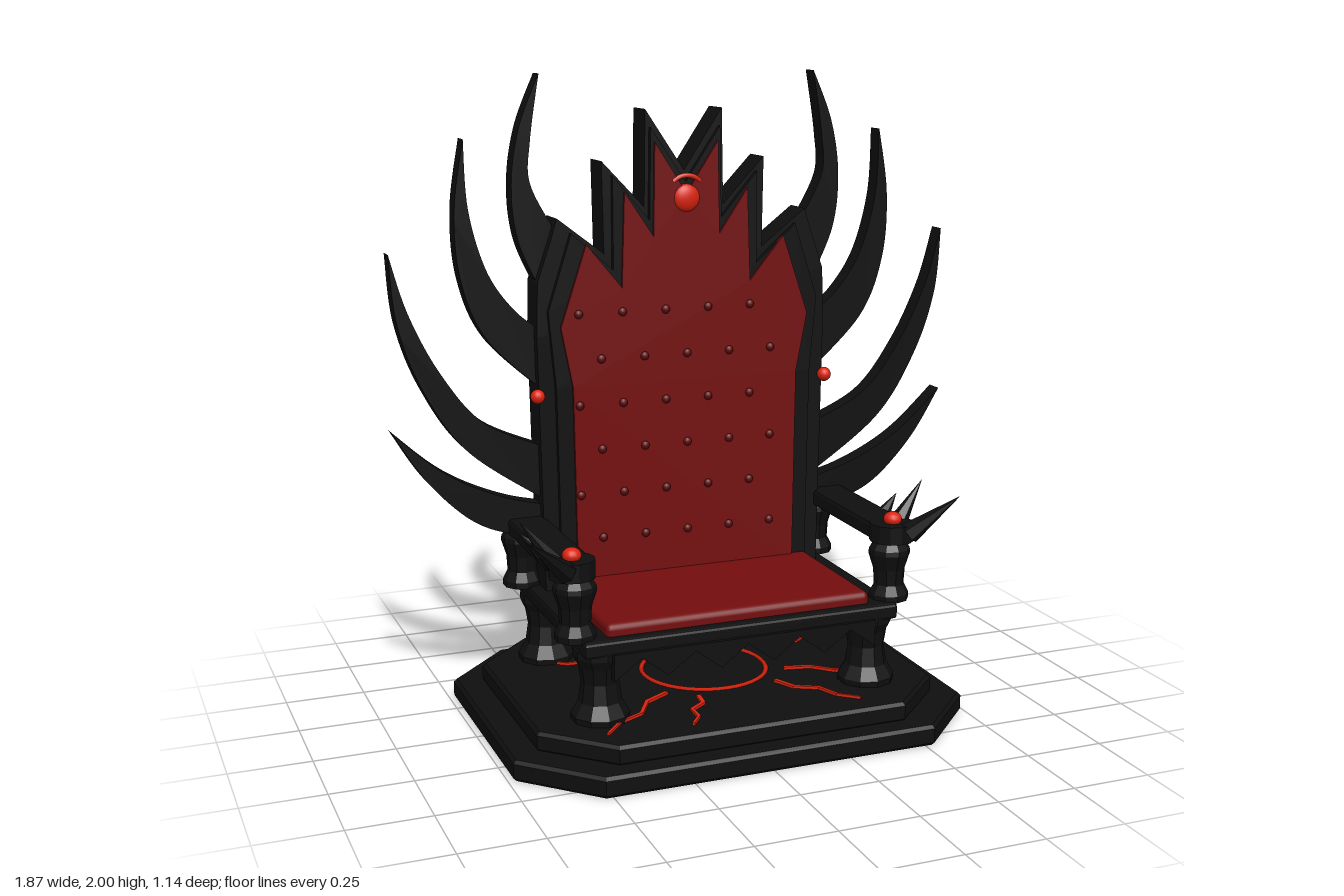
import * as THREE from 'three';
import { RoundedBoxGeometry } from 'three/addons/geometries/RoundedBoxGeometry.js';

const material = (name, color, flat = false) => {
  const m = new THREE.MeshStandardMaterial({ color, flatShading: flat });
  m.name = name;
  return m;
};

export function createModel() {
  const model = new THREE.Group();
  model.name = 'spikedThrone';
  const black = material('blackIron', 0x0f0f0f, true);
  const red = material('redLeather', 0x740d0e);
  const button = material('darkRedButton', 0x5a0a0b);
  const glow = material('glowingRed', 0xdc230e);

  const add = (name, geometry, mat, x = 0, y = 0, z = 0, parent = model) => {
    const mesh = new THREE.Mesh(geometry, mat);
    mesh.name = name;
    mesh.position.set(x, y, z);
    parent.add(mesh);
    return mesh;
  };
  const vectors = (pts, s = 1) => pts.map(([x, y]) => new THREE.Vector2(x * s, y));

  // Shape in the front plane, extruded between two depths
  const plate = (name, shape, z0, z1, mat, bevel = 0) =>
    add(name, new THREE.ExtrudeGeometry(shape, {
      depth: z1 - z0 - 2 * bevel, bevelEnabled: bevel > 0, bevelSize: bevel,
      bevelThickness: bevel, bevelOffset: -bevel, bevelSegments: 1, curveSegments: 10,
    }), mat, 0, 0, z0 + bevel);

  // Full outline from its right half, starting on the centre line
  const symmetric = (half) => new THREE.Shape(vectors([
    ...half, ...half.filter(([x]) => x > 0).reverse().map(([x, y]) => [-x, y]),
  ]));

  // Stepped octagonal base
  const octagon = (name, w, d, cw, cd, y0, y1) => {
    const shape = new THREE.Shape(vectors([
      [cw, d], [w, cd], [w, -cd], [cw, -d], [-cw, -d], [-w, -cd], [-w, cd], [-cw, d]]));
    const mesh = plate(name, shape, 0, y1 - y0, black, 0.01);
    mesh.rotation.x = -Math.PI / 2;
    mesh.position.y = y0 + 0.01;
  };
  octagon('lowerStep', 0.735, 0.57, 0.525, 0.355, 0, 0.065);
  octagon('upperStep', 0.65, 0.5, 0.46, 0.31, 0.06, 0.122);

  // Glowing ring and jagged cracks in the floor
  const ring = add('glowingRing', new THREE.TorusGeometry(0.2, 0.008, 4, 40), glow, 0, 0.123, 0);
  ring.rotation.x = Math.PI / 2;
  const cracks = new THREE.Group();
  cracks.name = 'glowingCracks';
  model.add(cracks);
  [[25, 0.58], [51, 0.55], [115, 0.48], [138, 0.62], [206, 0.5], [237, 0.53], [263, 0.43], [301, 0.5], [342, 0.52]]
    .forEach(([degrees, reach], n) => {
      const a = THREE.MathUtils.degToRad(degrees);
      const points = [0, 1, 2, 3, 4].map((i) => {
        const r = 0.26 + (reach - 0.26) * i / 4;
        const side = [0, 0.018, -0.012, 0.012, 0][i] * (n % 2 ? 1 : -1);
        return [r * Math.cos(a) - side * Math.sin(a), r * Math.sin(a) + side * Math.cos(a)];
      });
      for (let i = 0; i < 4; i++) {
        const [x0, z0] = points[i], [x1, z1] = points[i + 1];
        const piece = add('crack', new THREE.BoxGeometry(Math.hypot(x1 - x0, z1 - z0) + 0.006, 0.009, 0.014 - i * 0.002),
          glow, (x0 + x1) / 2, 0.126, (z0 + z1) / 2, cracks);
        piece.rotation.y = -Math.atan2(z1 - z0, x1 - x0);
      }
    });

  // Seat frame, cushion and zigzag skirt
  add('seatFrame', new RoundedBoxGeometry(1.02, 0.05, 0.71, 1, 0.01), black, 0, 0.36, 0);
  add('seatCushion', new RoundedBoxGeometry(0.86, 0.06, 0.605, 2, 0.02), red, 0, 0.392, 0.0175);
  const teeth = [[-0.425, 0.345]];
  for (let i = 0; i <= 10; i++) teeth.push([-0.425 + i * 0.085, i % 2 ? 0.325 : 0.262]);
  teeth.push([0.425, 0.345]);
  plate('frontSkirt', new THREE.Shape(vectors(teeth)), 0.34, 0.368, black);

  // Layered backrest with a jagged crown
  plate('backSlab', symmetric([
    [0, 1.7], [0.127, 1.89], [0.132, 1.59], [0.27, 1.735], [0.265, 1.45], [0.415, 1.565],
    [0.435, 1.5], [0.48, 1.37], [0.485, 1.2], [0.47, 0.385]]), -0.272, -0.165, black);
  plate('backFrame', symmetric([
    [0, 1.665], [0.115, 1.835], [0.12, 1.55], [0.24, 1.69], [0.24, 1.4], [0.375, 1.52],
    [0.452, 1.28], [0.43, 1.04], [0.42, 0.385]]), -0.166, -0.148, black);
  plate('backPanel', symmetric([
    [0, 1.63], [0.105, 1.79], [0.11, 1.5], [0.205, 1.64], [0.215, 1.345], [0.33, 1.485],
    [0.415, 1.23], [0.378, 1.04], [0.37, 0.4]]), -0.149, -0.139, red);

  // Upholstery buttons in staggered rows
  const buttons = new THREE.Group();
  buttons.name = 'backButtons';
  model.add(buttons);
  for (let row = 0; row < 6; row++) for (let i = 0; i < 5; i++) {
    const knob = add('button', new THREE.SphereGeometry(0.014, 10, 8), button,
      (i - 2) * 0.143 - (row % 2) * 0.072, 0.55 + row * 0.144, -0.138, buttons);
    knob.scale.z = 0.7;
  }

  // Crown gem with its glowing arc
  const gem = add('crownGem', new THREE.SphereGeometry(0.044, 20, 14), glow, 0, 1.615, -0.145);
  gem.scale.z = 0.5;
  const arc = add('crownArc', new THREE.TorusGeometry(0.065, 0.008, 6, 12, 1.5), glow, 0, 1.62, -0.142);
  arc.rotation.z = Math.PI / 2 - 0.75;

  // Curved side horns: root and outer edge up to the tip, then the inner edge
  const horns = [
    [[[0.46, 1.34], [0.53, 1.5], [0.547, 1.67], [0.52, 1.84], [0.455, 2]],
      [[0.455, 2], [0.486, 1.8], [0.488, 1.67], [0.41, 1.52]]],
    [[[0.45, 1.02], [0.635, 1.2], [0.712, 1.39], [0.725, 1.6], [0.693, 1.81]],
      [[0.693, 1.81], [0.683, 1.6], [0.63, 1.41], [0.545, 1.285], [0.45, 1.21]]],
    [[[0.45, 0.67], [0.7, 0.85], [0.835, 1.05], [0.91, 1.26], [0.93, 1.475]],
      [[0.93, 1.475], [0.875, 1.29], [0.78, 1.1], [0.65, 0.94], [0.45, 0.845]]],
    [[[0.45, 0.57], [0.57, 0.577], [0.7, 0.635], [0.835, 0.77], [0.937, 0.93]],
      [[0.937, 0.93], [0.81, 0.815], [0.7, 0.745], [0.57, 0.69], [0.45, 0.66]]],
  ];

  // Turned profiles for legs and arm posts
  const lathe = (profile) => new THREE.LatheGeometry(vectors(profile), 10);
  const leg = lathe([[0, 0.12], [0.088, 0.12], [0.09, 0.14], [0.066, 0.18], [0.057, 0.24], [0.065, 0.29], [0.08, 0.32], [0.08, 0.345], [0, 0.345]]);
  const post = lathe([[0, 0.38], [0.062, 0.38], [0.062, 0.4], [0.047, 0.43], [0.05, 0.48], [0.066, 0.53], [0.064, 0.545], [0.045, 0.575], [0, 0.575]]);

  for (const s of [-1, 1]) {
    for (const [outer, inner] of horns) {
      const shape = new THREE.Shape();
      shape.moveTo(outer[0][0] * s, outer[0][1]);
      shape.splineThru(vectors(outer.slice(1), s));
      shape.splineThru(vectors(inner.slice(1), s));
      shape.closePath();
      plate('sideHorn', shape, -0.255, -0.195, black);
    }

    for (const z of [0.275, -0.285]) {
      add('leg', leg, black, s * 0.44, 0, z);
      add('armPost', post, black, s * 0.515, 0, z + 0.003);
    }

    // Armrest with rounded ends
    add('armrest', new RoundedBoxGeometry(0.12, 0.055, 0.62, 1, 0.012), black, s * 0.52, 0.597, 0);
    add('armFrontKnob', new THREE.CylinderGeometry(0.07, 0.07, 0.056, 12), black, s * 0.522, 0.597, 0.277);
    add('armBackKnob', new THREE.CylinderGeometry(0.06, 0.06, 0.056, 12), black, s * 0.5, 0.597, -0.28);

    // Arm and back gems
    const armGem = add('armGem', new THREE.SphereGeometry(0.029, 16, 10), glow, s * 0.523, 0.637, 0.28);
    armGem.scale.y = 0.8;
    add('backGem', new THREE.SphereGeometry(0.023, 16, 10), glow, s * 0.488, 1.018, -0.158);

    // Outward leaning arm spikes: base point, tip, radius
    for (const [base, tip, r] of [
      [[0.555, 0.6, 0.33], [0.69, 0.725, 0.405], 0.035],
      [[0.56, 0.6, 0.235], [0.66, 0.735, 0.213], 0.032],
      [[0.565, 0.6, 0.125], [0.63, 0.665, 0.1], 0.026],
    ]) {
      const a = new THREE.Vector3(s * base[0], base[1], base[2]);
      const b = new THREE.Vector3(s * tip[0], tip[1], tip[2]);
      const along = b.clone().sub(a);
      const mid = a.add(b).multiplyScalar(0.5);
      const spike = add('armSpike', new THREE.ConeGeometry(r, along.length(), 6), black, mid.x, mid.y, mid.z);
      spike.quaternion.setFromUnitVectors(new THREE.Vector3(0, 1, 0), along.normalize());
    }
  }
  return model;
}
